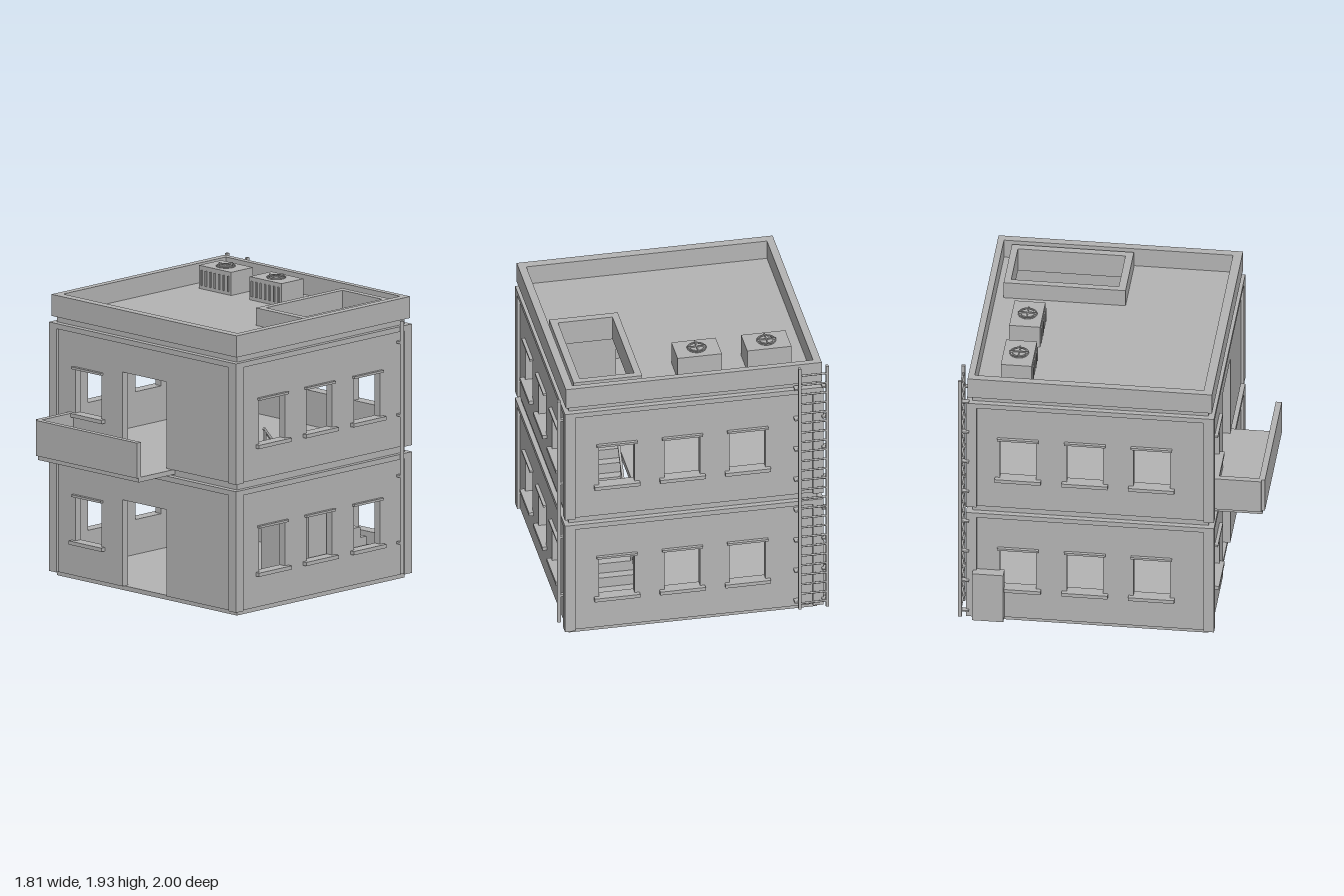
import * as THREE from 'three';

export function createModel() {
  const model = new THREE.Group();
  const concrete = new THREE.MeshStandardMaterial({ color: 0xb4b4b4 });
  concrete.name = 'concrete grey';

  const add = (name, geometry, parent = model) => {
    const mesh = new THREE.Mesh(geometry, concrete);
    mesh.name = name;
    parent.add(mesh);
    return mesh;
  };
  const group = (name) => {
    const g = new THREE.Group();
    g.name = name;
    model.add(g);
    return g;
  };
  // Box given by its limits on each axis
  const box = (name, x0, x1, y0, y1, z0, z1, parent) => {
    const mesh = add(name, new THREE.BoxGeometry(x1 - x0, y1 - y0, z1 - z0), parent);
    mesh.position.set((x0 + x1) / 2, (y0 + y1) / 2, (z0 + z1) / 2);
    return mesh;
  };
  const rect = (T, a, b, c, d) => new T([[a, c], [b, c], [b, d], [a, d]].map(p => new THREE.Vector2(...p)));
  // Horizontal plate with a rectangular hole: limits as [x0, x1, z0, z1]
  const plate = (name, [x0, x1, z0, z1], y0, y1, [a, b, c, d]) => {
    const shape = rect(THREE.Shape, x0, x1, -z1, -z0);
    shape.holes.push(rect(THREE.Path, a, b, -d, -c));
    const geo = new THREE.ExtrudeGeometry(shape, { depth: y1 - y0, bevelEnabled: false });
    add(name, geo.rotateX(-Math.PI / 2)).position.y = y0;
  };

  // Outer limits of the storeys
  const X0 = -0.86, X1 = 0.87, Z0 = -0.952, Z1 = 0.686;
  const slab = [-0.823, 0.838, -0.914, 0.646];
  const FLOOR = 0.86;

  // Sides: turn about y, outward distance, range along the wall, window centres
  const sides = [
    { name: 'front', turn: 0, d: Z1, a: X0, b: X1, windows: [-0.515], door: [-0.2, 0.208] },
    { name: 'left', turn: Math.PI / 2, d: X1, a: -Z1, b: -Z0, windows: [-0.33, 0.108, 0.552] },
    { name: 'back', turn: Math.PI, d: -Z0, a: -X1, b: -X0, windows: [0.355, -0.082, -0.52] },
    { name: 'right', turn: -Math.PI / 2, d: -X0, a: Z0, b: Z1, windows: [-0.61, -0.168, 0.272] },
  ];

  for (let storey = 0; storey < 2; storey++) {
    const y = storey * FLOOR;
    for (const { name, turn, d, a, b, windows, door } of sides) {
      const side = group(`${name}Side${storey + 1}`);
      side.rotation.y = turn;
      side.position.y = y;
      // Recessed wall panel with openings
      const l = a + 0.02, r = b - 0.02;
      const pts = [[l, 0.03]];
      if (door) pts.push([door[0], 0.03], [door[0], 0.612], [door[1], 0.612], [door[1], 0.03]);
      pts.push([r, 0.03], [r, 0.84], [l, 0.84]);
      const shape = new THREE.Shape(pts.map(p => new THREE.Vector2(...p)));
      for (const u of windows) shape.holes.push(rect(THREE.Path, u - 0.12, u + 0.12, 0.265, 0.562));
      const panel = new THREE.ExtrudeGeometry(shape, { depth: 0.05, bevelEnabled: false });
      add('wallPanel', panel, side).position.z = d - 0.07;
      // Band along the top of the wall
      box('topBand', a + 0.07, b - 0.07, 0.81, 0.845, d - 0.06, d, side);
      // Sills and lintels
      for (const u of windows) {
        box('windowSill', u - 0.152, u + 0.152, 0.24, 0.265, d - 0.06, d + 0.011, side);
        box('windowLintel', u - 0.136, u + 0.136, 0.562, 0.577, d - 0.08, d + 0.002, side);
      }
    }
    // Corner pillars
    for (const x of [X0, X1 - 0.07]) for (const z of [Z0, Z1 - 0.07])
      box('cornerPillar', x, x + 0.07, y + 0.03, y + 0.845, z, z + 0.07);
  }

  // Floors, roof and parapet
  const hatch = [0.377, 0.741, -0.80, -0.09];
  box('baseSlab', slab[0], slab[1], 0, 0.03, slab[2], slab[3]);
  plate('upperFloor', slab, 0.845, 0.89, [0.34, 0.78, -0.80, -0.08]);
  plate('roofSlab', slab, 1.705, 1.757, hatch);
  plate('parapet', [-0.85, 0.862, -0.942, 0.672], 1.745, 1.89, [-0.80, 0.81, -0.90, 0.612]);
  plate('roofHatchRim', [0.332, 0.79, -0.845, 0.04 - 0.08], 1.75, 1.875, hatch);

  // Stairs with a handrail on the open side
  const stairs = group('stairs');
  const STEPS = 12, run = 0.06, rise = FLOOR / STEPS;
  for (let i = 0; i < STEPS; i++) {
    const z = -0.80 + i * run;
    box('step', 0.34, 0.78, 0.03, 0.03 + (i + 1) * rise, z, z + run, stairs);
  }
  const slope = rise / run;
  const railY = (z) => 1.167 + slope * z;
  const railEnds = [-0.79, -0.09];
  const rail = add('handrail', new THREE.BoxGeometry(0.016, 0.016, 0.7 * Math.hypot(1, slope)), stairs);
  rail.position.set(0.355, railY(-0.44), (railEnds[0] + railEnds[1]) / 2);
  rail.rotation.x = -Math.atan(slope);
  for (const z of [-0.785, -0.615, -0.44, -0.265, -0.1]) {
    const foot = 0.03 + (Math.floor((z + 0.80) / run) + 1) * rise;
    box('railPost', 0.348, 0.362, foot - 0.01, railY(z), z - 0.007, z + 0.007, stairs);
  }

  // Balcony, open at one end
  const balcony = group('balcony');
  box('balconyFloor', -0.667, 0.265, 0.857, 0.89, 0.63, 0.983, balcony);
  box('balconyFrontWall', -0.667, 0.265, 0.887, 1.125, 0.96, 1.0, balcony);
  box('balconySideWall', -0.69, -0.65, 0.887, 1.125, 0.65, 0.978, balcony);

  // Rooftop cooling units
  for (const x of [-0.54, -0.074]) {
    const unit = group('coolingUnit');
    unit.position.set(x, 0, -0.638);
    box('unitCase', -0.148, 0.148, 1.75, 1.913, -0.104, 0.1, unit);
    add('fanDisc', new THREE.CylinderGeometry(0.045, 0.045, 0.012, 24), unit).position.y = 1.916;
    const ring = add('fanRing', new THREE.TorusGeometry(0.06, 0.005, 6, 28).rotateX(Math.PI / 2), unit);
    ring.position.y = 1.918;
    box('fanBar', -0.064, 0.064, 1.915, 1.93, -0.004, 0.004, unit);
    box('fanBar', -0.004, 0.004, 1.915, 1.93, -0.064, 0.064, unit);
    for (let i = 0; i < 7; i++) {
      const u = -0.123 + i * 0.041;
      box('ventFin', u - 0.006, u + 0.006, 1.78, 1.885, 0.1, 0.108, unit);
    }
  }

  // Ladder on the back wall
  const ladder = group('ladder');
  for (const x of [-0.876, -0.692]) {
    box('ladderRail', x - 0.009, x + 0.009, 0.04, 1.89, -1.0, -0.976, ladder);
    for (let i = 0; i < 8; i++) {
      const y = 0.082 + i * 0.234;
      box('ladderBracket', x - 0.006, x + 0.03, y - 0.005, y + 0.005, -0.98, -0.93, ladder);
    }
  }
  for (let i = 0; i < 25; i++) {
    const rung = add('ladderRung', new THREE.CylinderGeometry(0.007, 0.007, 0.18, 8).rotateZ(Math.PI / 2), ladder);
    rung.position.set(-0.784, 0.08 + i * 0.073, -0.988);
  }

  // Drainpipe with wall clips, and the service box
  const pipe = group('drainpipe');
  add('pipe', new THREE.CylinderGeometry(0.014, 0.014, 1.7, 12), pipe).position.set(0.887, 0.895, -0.839);
  for (const y of [0.25, 0.7, 1.11, 1.6])
    box('pipeClip', 0.84, 0.89, y - 0.008, y + 0.008, -0.852, -0.826, pipe);
  box('serviceBox', -0.905, -0.83, 0.03, 0.395, -0.905, -0.70);

  return model;
}
